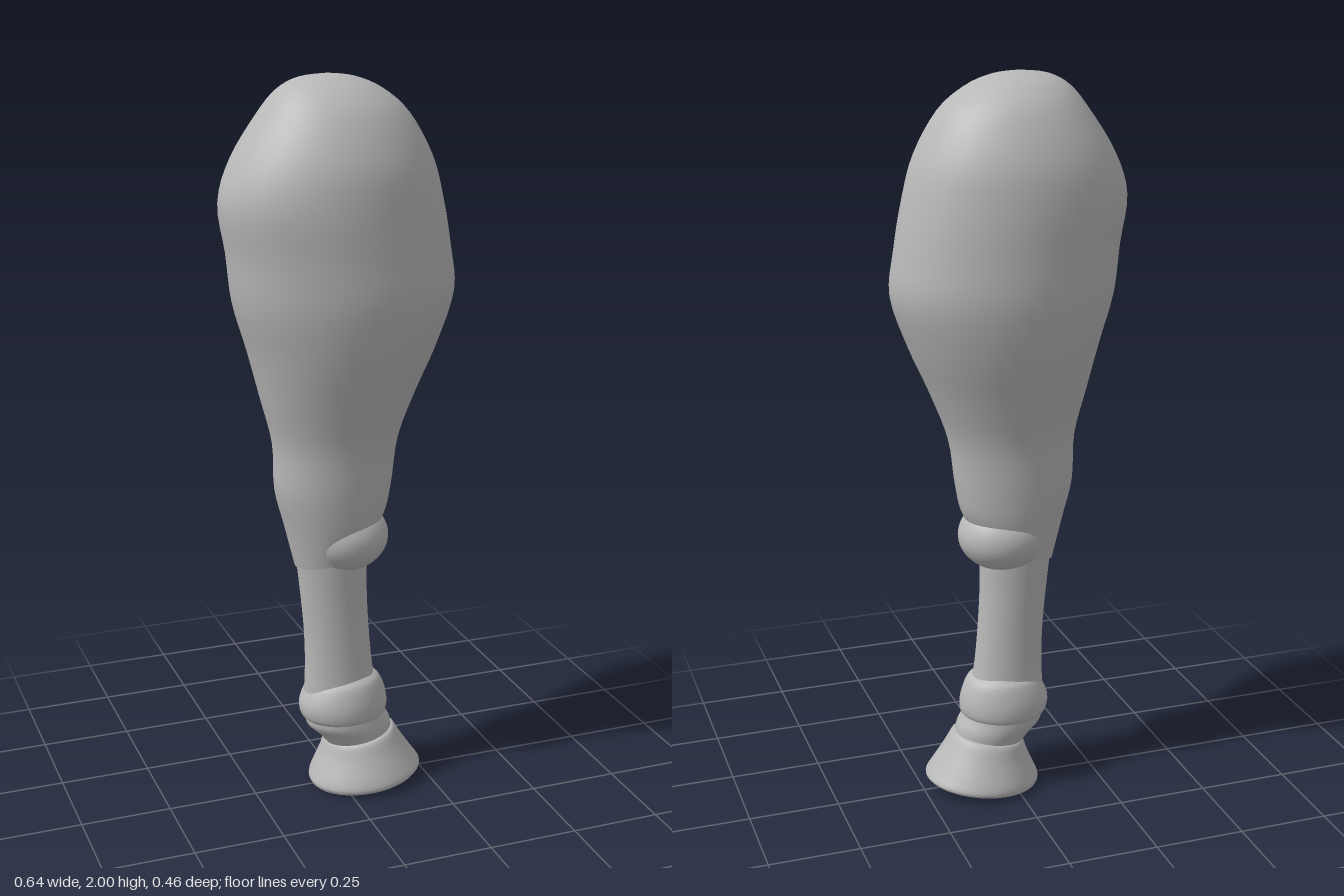
import * as THREE from 'three';

const SIDES = 40;

// Skin elliptical rings, listed top to bottom as
// [leftX, leftY, rightX, rightY, halfDepth], smoothed between rings.
function loft(rings, steps = 4) {
  const smooth = (pts) => new THREE.CatmullRomCurve3(pts, false, 'catmullrom', 0.5);
  const left = smooth(rings.map((r) => new THREE.Vector3(r[0], r[1], r[4])));
  const right = smooth(rings.map((r) => new THREE.Vector3(r[2], r[3], r[4])));
  const rows = (rings.length - 1) * steps;
  const pos = [];
  const index = [];
  const ring = (t) => {
    const a = left.getPoint(t), b = right.getPoint(t);
    for (let j = 0; j < SIDES; j++) {
      const ang = (j / SIDES) * Math.PI * 2;
      const k = (1 + Math.cos(ang)) / 2;
      pos.push(a.x + (b.x - a.x) * k, a.y + (b.y - a.y) * k, a.z * Math.sin(ang));
    }
  };
  for (let i = 0; i <= rows; i++) ring(i / rows);
  for (let i = 0; i < rows; i++) {
    for (let j = 0; j < SIDES; j++) {
      const n = (j + 1) % SIDES;
      const a = i * SIDES + j, b = i * SIDES + n;
      index.push(a, b, a + SIDES, b, b + SIDES, a + SIDES);
    }
  }
  // flat end caps with their own vertices, so their rims stay sharp
  for (const t of [0, 1]) {
    const start = pos.length / 3;
    ring(t);
    const a = left.getPoint(t), b = right.getPoint(t);
    pos.push((a.x + b.x) / 2, (a.y + b.y) / 2, 0);
    for (let j = 0; j < SIDES; j++) {
      const p = start + j, q = start + ((j + 1) % SIDES), c = start + SIDES;
      if (t === 0) index.push(c, q, p);
      else index.push(c, p, q);
    }
  }
  const geo = new THREE.BufferGeometry();
  geo.setAttribute('position', new THREE.Float32BufferAttribute(pos, 3));
  geo.setIndex(index);
  geo.computeVertexNormals();
  return geo;
}

export function createModel() {
  const group = new THREE.Group();
  group.name = 'horseLeg';
  const grey = new THREE.MeshStandardMaterial({ color: 0xb8b8b8 });
  grey.name = 'plain grey';
  const add = (name, geo) => {
    const mesh = new THREE.Mesh(geo, grey);
    mesh.name = name;
    group.add(mesh);
    return mesh;
  };

  // thigh with domed top, tapering to the knee
  add('upperLeg', loft([
    [-0.034, 2.0, -0.026, 2.0, 0.003],
    [-0.11, 1.99, 0.045, 1.99, 0.056],
    [-0.165, 1.96, 0.115, 1.96, 0.11],
    [-0.215, 1.9, 0.185, 1.9, 0.163],
    [-0.285, 1.79, 0.248, 1.79, 0.211],
    [-0.32, 1.68, 0.28, 1.68, 0.226],
    [-0.302, 1.55, 0.304, 1.55, 0.227],
    [-0.287, 1.42, 0.316, 1.43, 0.226],
    [-0.25, 1.29, 0.27, 1.29, 0.202],
    [-0.217, 1.16, 0.213, 1.16, 0.165],
    [-0.185, 1.03, 0.165, 1.03, 0.132],
    [-0.18, 0.9, 0.147, 0.9, 0.122],
    [-0.153, 0.79, 0.125, 0.81, 0.11],
    [-0.125, 0.675, 0.06, 0.72, 0.085],
  ]));

  // knee joint
  const knee = add('knee', new THREE.SphereGeometry(1, 40, 24));
  knee.scale.set(0.127, 0.1, 0.117);
  knee.position.set(0.012, 0.75, 0);

  // cannon bone
  add('lowerLeg', loft([
    [-0.122, 0.7, 0.08, 0.7, 0.078],
    [-0.11, 0.59, 0.08, 0.59, 0.073],
    [-0.1, 0.48, 0.086, 0.48, 0.071],
    [-0.097, 0.38, 0.095, 0.38, 0.072],
    [-0.1, 0.29, 0.108, 0.29, 0.075],
  ]));

  // fetlock joint
  add('fetlock', loft([
    [-0.045, 0.335, 0.09, 0.338, 0.07],
    [-0.085, 0.315, 0.118, 0.32, 0.09],
    [-0.113, 0.26, 0.137, 0.27, 0.104],
    [-0.104, 0.215, 0.137, 0.225, 0.102],
    [-0.07, 0.2, 0.11, 0.21, 0.085],
  ]));

  // slanted pastern between fetlock and hoof
  add('pastern', loft([
    [-0.09, 0.24, 0.12, 0.25, 0.093],
    [-0.094, 0.195, 0.135, 0.215, 0.097],
    [-0.062, 0.16, 0.15, 0.185, 0.095],
    [-0.025, 0.115, 0.155, 0.15, 0.085],
  ]));

  // flared hoof with a tilted flat sole
  add('hoof', loft([
    [-0.03, 0.136, 0.15, 0.168, 0.085],
    [-0.04, 0.128, 0.163, 0.162, 0.1],
    [-0.052, 0.09, 0.187, 0.122, 0.116],
    [-0.075, 0.038, 0.222, 0.07, 0.138],
    [-0.083, 0.014, 0.24, 0.044, 0.145],
    [-0.078, 0.001, 0.235, 0.033, 0.141],
  ]));

  return group;
}
